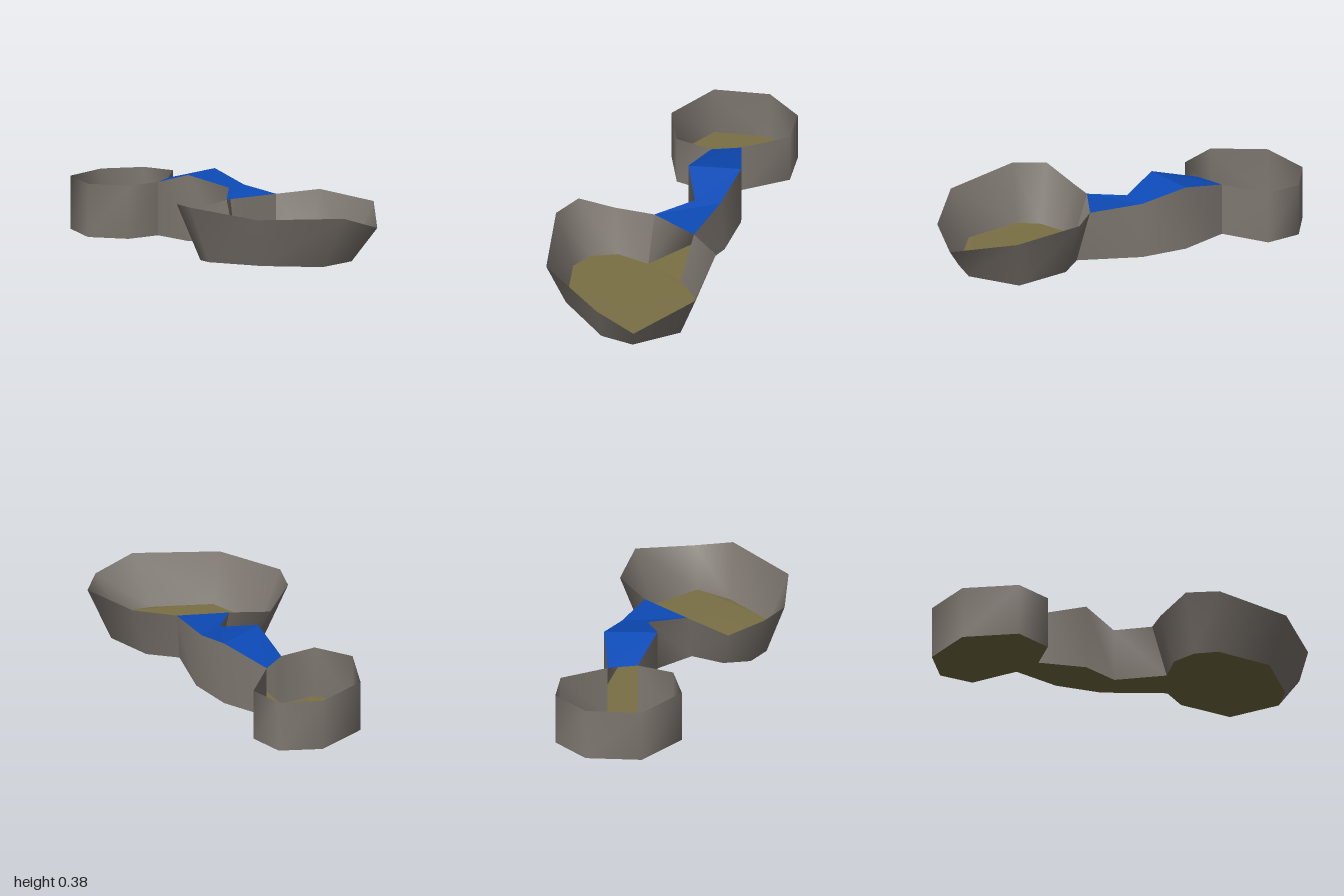
import * as THREE from 'three';

const mat = (name, color) => {
  const m = new THREE.MeshStandardMaterial({ color, side: THREE.DoubleSide });
  m.name = name;
  return m;
};

// Surface spanned between two point rows of equal length
function strip(name, a, b, material, flat = false) {
  const index = [];
  const n = a.length;
  for (let i = 0; i < n - 1; i++) index.push(i, i + 1, n + i, i + 1, n + i + 1, n + i);
  return surface(name, [...a, ...b], index, material, flat);
}

// Flat patch filling an outline
function patch(name, pts, material) {
  const outline = pts.map(([x, , z]) => new THREE.Vector2(x, -z));
  const index = THREE.ShapeUtils.triangulateShape(outline, []).flat();
  return surface(name, pts, index, material, false);
}

function surface(name, pts, index, material, flat) {
  let g = new THREE.BufferGeometry();
  g.setAttribute('position', new THREE.Float32BufferAttribute(pts.flat(), 3));
  g.setIndex(index);
  if (flat) g = g.toNonIndexed();
  g.computeVertexNormals();
  const mesh = new THREE.Mesh(g, material);
  mesh.name = name;
  return mesh;
}

export function createModel() {
  const stone = mat('grey wall', 0x7f7871);
  const olive = mat('olive floor', 0x7a7045);
  const blue = mat('blue roof', 0x0d4bb8);
  const model = new THREE.Group();
  model.name = 'basins';

  // Small upright basin, open on the side facing the passage
  const smallPlan = [
    [-0.487, -0.39], [-0.57, -0.652], [-0.76, -0.7], [-0.95, -0.556],
    [-1, -0.256], [-0.8, -0.02], [-0.572, -0.043], [-0.476, -0.225],
  ];
  const at = (y) => smallPlan.map(([x, z]) => [x, y, z]);
  const small = new THREE.Group();
  small.name = 'smallBasin';
  small.add(
    strip('smallBasinWall', at(0.305), at(0.015), stone),
    patch('smallBasinFloor', at(0.015), olive),
  );

  // Large flared basin, open between its first and last points
  const rim = [
    [0.262, 0.3, -0.112], [0.47, 0.323, -0.225], [0.835, 0.295, -0.105],
    [1, 0.205, 0.235], [0.888, 0.275, 0.43], [0.495, 0.28, 0.69],
    [0.07, 0.315, 0.625], [-0.06, 0.31, 0.5], [-0.07, 0.235, 0.305], [0.06, 0.285, 0.095],
  ];
  const base = [
    [0.29, 0.008, -0.04], [0.455, 0.015, -0.112], [0.733, 0, -0.027],
    [0.85, 0.015, 0.235], [0.75, 0, 0.4], [0.47, 0.015, 0.583],
    [0.144, 0.01, 0.535], [0.053, 0.003, 0.44], [0.043, 0.005, 0.29], [0.134, 0.006, 0.13],
  ];
  const large = new THREE.Group();
  large.name = 'largeBasin';
  large.add(
    strip('largeBasinWall', base, rim, stone),
    patch('largeBasinFloor', base, olive),
  );

  // Covered passage, open at both ends
  const backTop = [[-0.487, 0.305, -0.39], [-0.21, 0.375, -0.38], [0.01, 0.315, -0.262], rim[0]];
  const frontTop = [[-0.476, 0.305, -0.225], [-0.246, 0.375, -0.096], [-0.02, 0.315, -0.125], rim[9]];
  const backLow = [[-0.487, 0.015, -0.39], [-0.21, 0.015, -0.38], [0.03, 0.015, -0.283], base[0]];
  const frontLow = [[-0.476, 0.015, -0.225], [-0.246, 0.015, -0.096], [-0.025, 0.015, -0.115], base[9]];
  const passage = new THREE.Group();
  passage.name = 'passage';
  passage.add(
    strip('passageRoof', frontTop, backTop, blue, true),
    strip('passageFloor', backLow, frontLow, olive, true),
    strip('passageBackWall', backTop, backLow, stone),
    strip('passageFrontWall', frontLow, frontTop, stone),
  );

  model.add(small, passage, large);
  return model;
}
